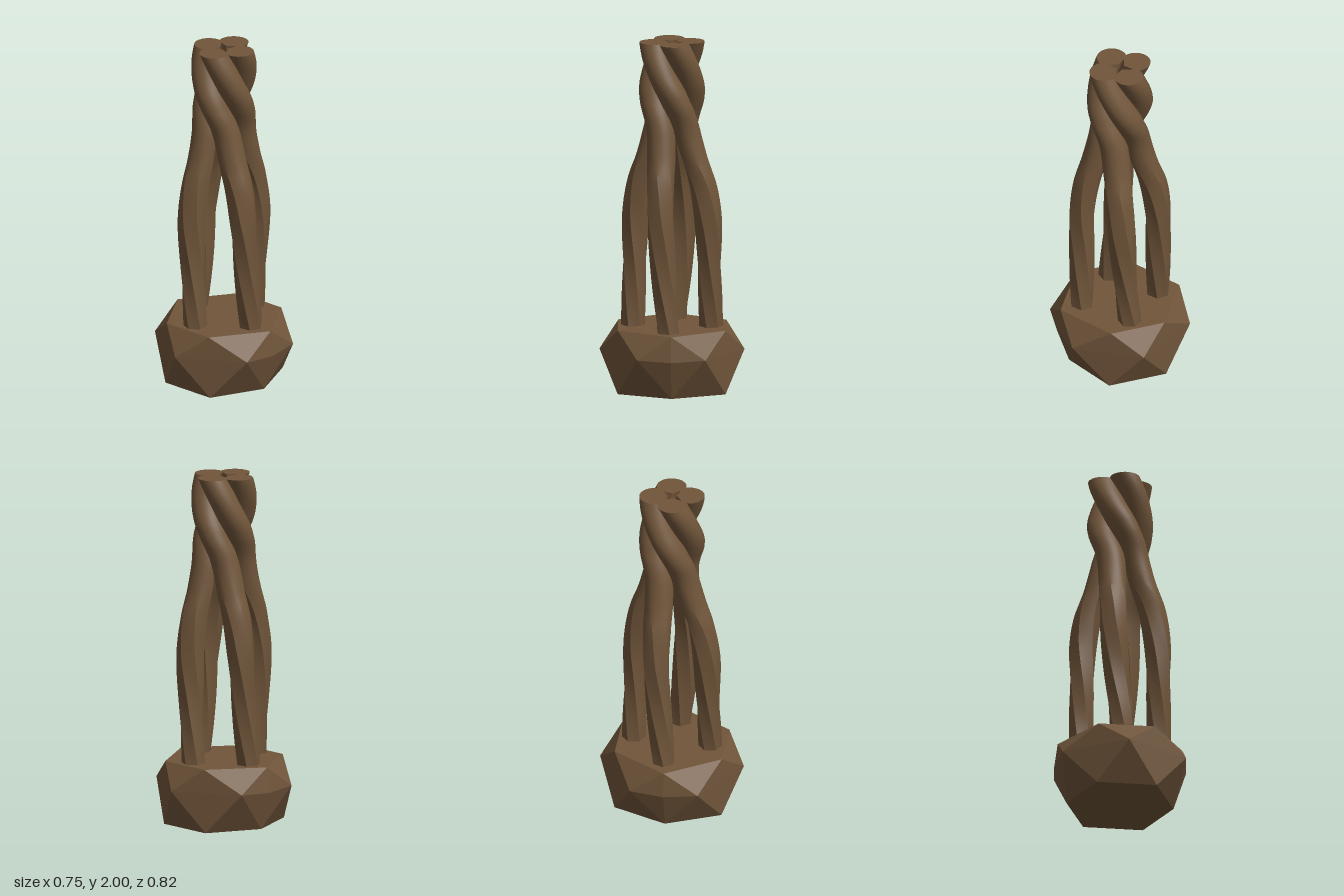
import * as THREE from 'three';
import { toCreasedNormals } from 'three/addons/utils/BufferGeometryUtils.js';
import { ConvexGeometry } from 'three/addons/geometries/ConvexGeometry.js';

const DEG = Math.PI / 180;
const SIDES = 24, STEPS = 72;

// Stations along a strand: height, distance from axis, angle around axis, size, extra roll
const stations = [
  [0.33, 0.222, 4, 0.8, -75],
  [0.7, 0.217, 12, 0.87, -45],
  [1.0, 0.212, 17, 0.96, -22],
  [1.2, 0.182, 20, 0.97, -10],
  [1.35, 0.135, 26, 0.96, -3],
  [1.5, 0.103, 38, 0.95, 0],
  [1.68, 0.1, 81, 1, 0],
  [1.84, 0.1, 126, 1, 0],
  [2.0, 0.1, 171, 1, 0],
];
const path = new THREE.CatmullRomCurve3(stations.map(([y, r, a]) => new THREE.Vector3(r, y, a / 100)));
const shape = new THREE.CatmullRomCurve3(stations.map(([, , , s, roll]) => new THREE.Vector3(s, roll / 100, 0)));

// Radius of the strand section: round outside, pointed towards the axis, more six-sided at the foot
function sectionRadius(angle, t) {
  const sector = ((angle % 60) + 60) % 60 - 30;
  const hexagon = 0.083 * Math.cos(30 * DEG) / Math.cos(sector * DEG);
  const round = 0.085;
  const fromInside = Math.abs(angle - 180);
  // straight edges of the inner wedge
  const wedge = fromInside < 60 ? 0.066 / Math.cos((fromInside - 28) * DEG) : round;
  const blend = THREE.MathUtils.smoothstep(t, 0.1, 0.7);
  return THREE.MathUtils.lerp(hexagon, Math.min(round, wedge), blend);
}

function strandGeometry() {
  const positions = [], index = [];
  for (let i = 0; i <= STEPS; i++) {
    const t = i / STEPS;
    const p = path.getPoint(t), s = shape.getPoint(t);
    const turn = p.z * 100 * DEG;
    const cx = p.x * Math.cos(turn), cz = p.x * Math.sin(turn);
    for (let j = 0; j < SIDES; j++) {
      const angle = j * 360 / SIDES;
      const r = sectionRadius(angle, t) * s.x;
      const w = turn + (angle + s.y * 100) * DEG;
      positions.push(cx + r * Math.cos(w), p.y, cz + r * Math.sin(w));
      if (i < STEPS) {
        const a = i * SIDES + j, b = i * SIDES + (j + 1) % SIDES;
        index.push(a, a + SIDES, b, b, a + SIDES, b + SIDES);
      }
    }
  }
  // flat cut at the top
  const end = stations[stations.length - 1];
  const centre = positions.length / 3, ring = STEPS * SIDES;
  positions.push(end[1] * Math.cos(end[2] * DEG), end[0], end[1] * Math.sin(end[2] * DEG));
  for (let j = 0; j < SIDES; j++) index.push(centre, ring + (j + 1) % SIDES, ring + j);
  const geometry = new THREE.BufferGeometry();
  geometry.setAttribute('position', new THREE.Float32BufferAttribute(positions, 3));
  geometry.setIndex(index);
  return toCreasedNormals(geometry, 0.55);
}

// Faceted block: six-cornered top and bottom with a wider ring between them
function baseGeometry() {
  const points = [];
  const add = (x, y, z) => points.push(new THREE.Vector3(x, y, z));
  for (const side of [-1, 1]) {
    add(side * 0.355, 0.365, 0);
    add(side * 0.375, 0.22, 0);
    add(side * 0.305, 0, 0);
    add(0, 0.23, side * 0.41);
    for (const end of [-1, 1]) {
      add(side * 0.16, 0.365, end * 0.305);
      add(side * 0.352, 0.23, end * 0.193);
      add(side * 0.17, 0, end * 0.305);
    }
  }
  return new ConvexGeometry(points);
}

export function createModel() {
  const model = new THREE.Group();
  const brown = new THREE.MeshStandardMaterial({ color: 0x70553a });
  brown.name = 'brown';

  const base = new THREE.Mesh(baseGeometry(), brown);
  base.name = 'base';
  model.add(base);

  // Four legs that rise apart, then wind together into a column
  const strands = new THREE.Group();
  strands.name = 'twistedStrands';
  const geometry = strandGeometry();
  for (let k = 0; k < 4; k++) {
    const strand = new THREE.Mesh(geometry, brown);
    strand.name = 'strand' + (k + 1);
    strand.rotation.y = k * Math.PI / 2;
    strands.add(strand);
  }
  model.add(strands);
  return model;
}
